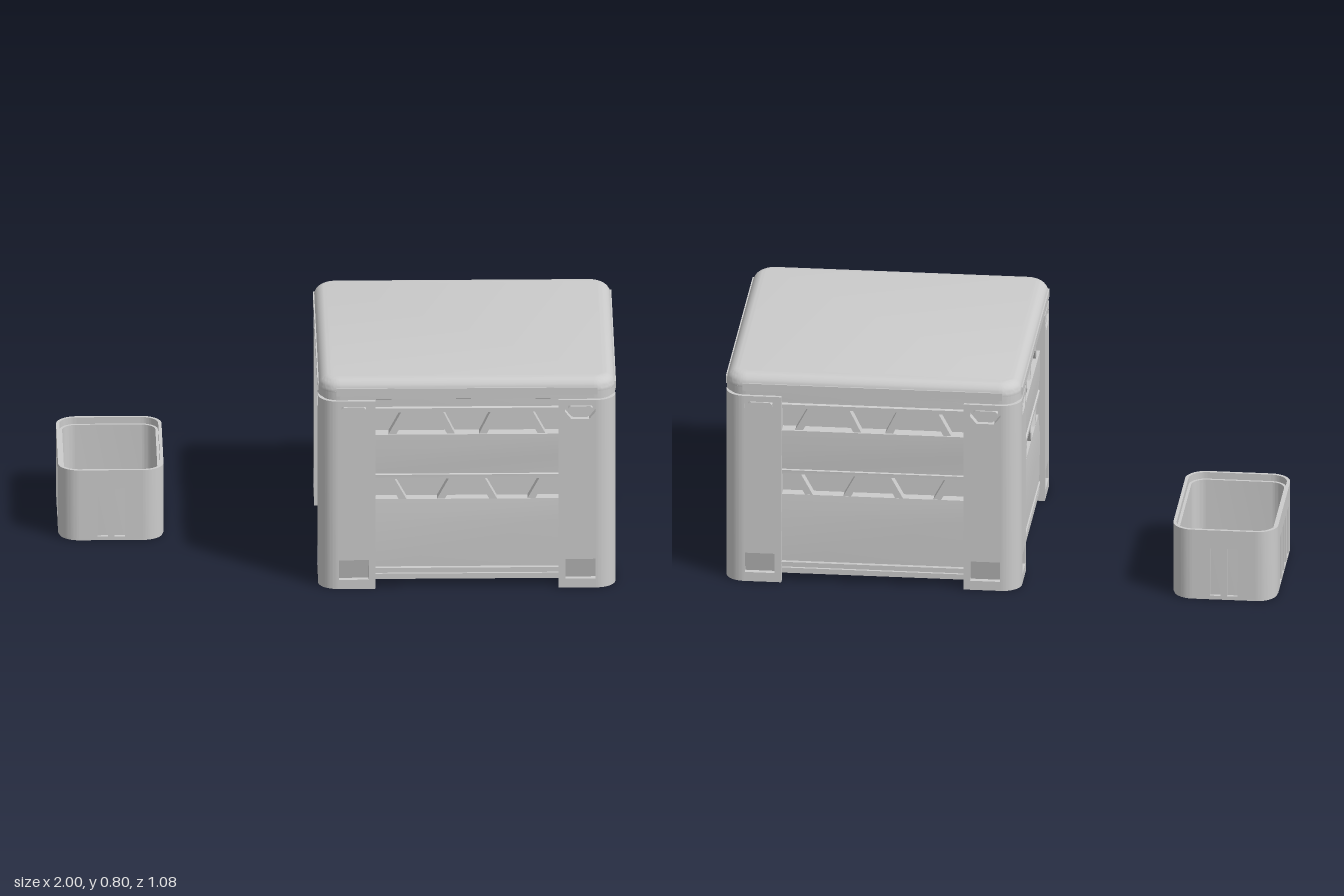
import * as THREE from 'three';
import { toCreasedNormals } from 'three/addons/utils/BufferGeometryUtils.js';

const mat = new THREE.MeshStandardMaterial({ color: 0xcccccc });

const add = (parent, name, geo, x = 0, y = 0, z = 0) => {
  const m = new THREE.Mesh(geo, mat);
  m.name = name;
  m.position.set(x, y, z);
  parent.add(m);
  return m;
};
const poly = pts => new THREE.Shape(pts.map(p => new THREE.Vector2(p[0], p[1])));
const rect = (x0, y0, x1, y1) => poly([[x0, y0], [x1, y0], [x1, y1], [x0, y1]]);
const extrude = (shape, depth, opts = {}) => toCreasedNormals(
  new THREE.ExtrudeGeometry(shape, { depth, bevelEnabled: false, curveSegments: 10, ...opts }), 0.5);
const withHoles = (shape, holes) => { shape.holes.push(...holes); return shape; };

// Rounded rectangle outline with half sizes hx, hz
function rounded(hx, hz, r) {
  const s = new THREE.Shape();
  s.absarc(hx - r, hz - r, r, 0, Math.PI / 2);
  s.absarc(-hx + r, hz - r, r, Math.PI / 2, Math.PI);
  s.absarc(-hx + r, -hz + r, r, Math.PI, Math.PI * 1.5);
  s.absarc(hx - r, -hz + r, r, Math.PI * 1.5, Math.PI * 2);
  s.closePath();
  return s;
}
// Horizontal slab between two heights
const slab = (shape, y0, y1) => extrude(shape, y1 - y0).rotateX(-Math.PI / 2).translate(0, y0, 0);
const ring = (hx, hz, r, t) => withHoles(rounded(hx, hz, r), [rounded(hx - t, hz - t, r - t)]);

// Four quarter-round corner shells
function corners(parent, name, hx, hz, r, t, y0, y1) {
  const s = new THREE.Shape();
  s.absarc(0, 0, r, 0, Math.PI / 2);
  s.absarc(0, 0, r - t, Math.PI / 2, 0, true);
  s.closePath();
  const geo = slab(s, y0, y1);
  [[1, -1], [-1, -1], [-1, 1], [1, 1]].forEach(([sx, sz], k) => {
    add(parent, name, geo, sx * (hx - r), 0, sz * (hz - r)).rotation.y = k * Math.PI / 2;
  });
}

function createCrate() {
  const crate = new THREE.Group();
  crate.name = 'crate';
  const H = 0.535, R = 0.07, T = 0.03, IN = 0.33, C = 0.408;

  // Panel cross-section (outward depth, height)
  const profile = poly([
    [0.44, 0.03], [0.515, 0.03], [0.515, 0.05], [0.505, 0.05], [0.505, 0.065], [0.518, 0.065],
    [0.518, 0.073], [0.514, 0.078], [0.518, 0.25], [0.511, 0.335], [0.47, 0.335], [0.47, 0.415],
    [0.516, 0.415], [0.516, 0.43], [0.511, 0.433], [0.518, 0.5], [0.518, 0.585], [0.47, 0.585],
    [0.47, 0.67], [0.516, 0.67], [0.516, 0.685], [0.506, 0.688], [0.506, 0.705], [0.515, 0.708],
    [0.515, 0.72], [0.44, 0.72],
  ]);
  const panel = extrude(profile, 2 * IN).rotateY(-Math.PI / 2).translate(IN, 0, 0);

  // Diagonal bars: [bottom, top] offsets for each truss row
  const w = 0.014;
  const bar = (b, t, y0, y1) =>
    extrude(poly([[b - w, y0], [b + w, y0], [t + w, y1], [t - w, y1]]), 0.042);
  const rows = [
    { y: [0.585, 0.67], bars: [[0.268, 0.222], [0.058, 0.1]] },
    { y: [0.335, 0.415], bars: [[0.232, 0.276], [0.094, 0.05]] },
  ];

  // Latch outline scaled about its centre
  const latch = (cx, k) => poly([[-0.055, 0.016], [-0.045, 0.026], [0.045, 0.026], [0.055, 0.016],
    [0.055, 0.002], [0.032, -0.026], [-0.032, -0.026], [-0.055, 0.002]]
    .map(([x, y]) => [cx + x * k, 0.673 + y * k]));
  const wedge = extrude(poly([[0.5, 0.035], [0.514, 0.035], [0.533, 0.11], [0.5, 0.11]]), 0.108)
    .rotateY(-Math.PI / 2).translate(0.054, 0, 0);

  for (let k = 0; k < 4; k++) {
    const side = new THREE.Group();
    side.name = 'side';
    side.rotation.y = k * Math.PI / 2;
    crate.add(side);
    add(side, 'panel', panel);
    for (const s of [-1, 1]) {
      for (const { y, bars } of rows)
        for (const [b, t] of bars) add(side, 'trussBar', bar(s * b, s * t, ...y), 0, 0, 0.468);
      const c = s * C;
      const face = withHoles(rect(s * IN, 0, s * (H - R), 0.72),
        [latch(c, 1), rect(c - 0.054, 0.035, c + 0.054, 0.11)]);
      add(side, 'postFace', extrude(face, T), 0, 0, H - T);
      add(side, 'latchLoop', extrude(withHoles(latch(c, 0.8), [latch(c, 0.52)]), 0.024), 0, 0, 0.505);
      add(side, 'footPad', wedge, c);
    }
    // Corner filling behind the post
    add(side, 'postCore', new THREE.BoxGeometry(0.176, 0.69, 0.176), 0.418, 0.375, 0.418);
    add(side, 'lidStrip', new THREE.BoxGeometry(0.94, 0.028, 0.02), 0, 0.755, 0.5275);
  }
  corners(crate, 'postCorner', H, H, R, T, 0, 0.72);
  add(crate, 'floor', slab(rounded(0.51, 0.51, 0.05), 0.03, 0.05));

  // Lid: recessed neck, straight skirt and rounded top
  add(crate, 'lidNeck', slab(rounded(0.522, 0.522, 0.06), 0.7, 0.74));
  add(crate, 'lidSkirt', slab(rounded(0.535, 0.535, 0.08), 0.728, 0.757));
  const b = 0.044;
  const top = extrude(rounded(0.535 - b, 0.535 - b, 0.036), 0.002, {
    bevelEnabled: true, bevelSize: b, bevelThickness: b, bevelSegments: 8,
  }).rotateX(-Math.PI / 2);
  add(crate, 'lidTop', top, 0, 0.8 - b - 0.002, 0);
  return crate;
}

function createBasket() {
  const basket = new THREE.Group();
  basket.name = 'basket';
  const hx = 0.19, hz = 0.28, r = 0.075, t = 0.012, y0 = 0.008, y1 = 0.27;

  add(basket, 'basketFloor', slab(rounded(hx - 0.004, hz - 0.004, r - 0.004), 0, 0.014));
  add(basket, 'innerWall', slab(ring(hx - t, hz - t, r - t, 0.01), 0.01, 0.245));
  add(basket, 'floorStep', slab(ring(hx - 0.02, hz - 0.02, r - 0.02, 0.012), 0.012, 0.03));
  corners(basket, 'basketCorner', hx, hz, r, t, y0, y1);

  // Slotted walls: half length, distance from centre, slot starts and width
  const walls = [
    { half: hx - r, dist: hz, starts: [-0.05, 0.012], width: 0.038 },
    { half: hz - r, dist: hx, starts: [-0.145, -0.065, 0.015, 0.095], width: 0.05 },
  ];
  for (let k = 0; k < 4; k++) {
    const { half, dist, starts, width } = walls[k % 2];
    const face = withHoles(rect(-half, y0, half, y1),
      starts.map(x => rect(x, 0.016, x + width, 0.2)));
    const wall = new THREE.Group();
    wall.name = 'basketSide';
    wall.rotation.y = k * Math.PI / 2;
    add(wall, 'slottedWall', extrude(face, t), 0, 0, dist - t);
    basket.add(wall);
  }
  return basket;
}

export function createModel() {
  const model = new THREE.Group();
  model.name = 'crateAndBasket';
  const crate = createCrate();
  crate.position.x = 0.4625;
  const basket = createBasket();
  basket.position.set(-0.81, 0, -0.26);
  model.add(crate, basket);
  return model;
}
